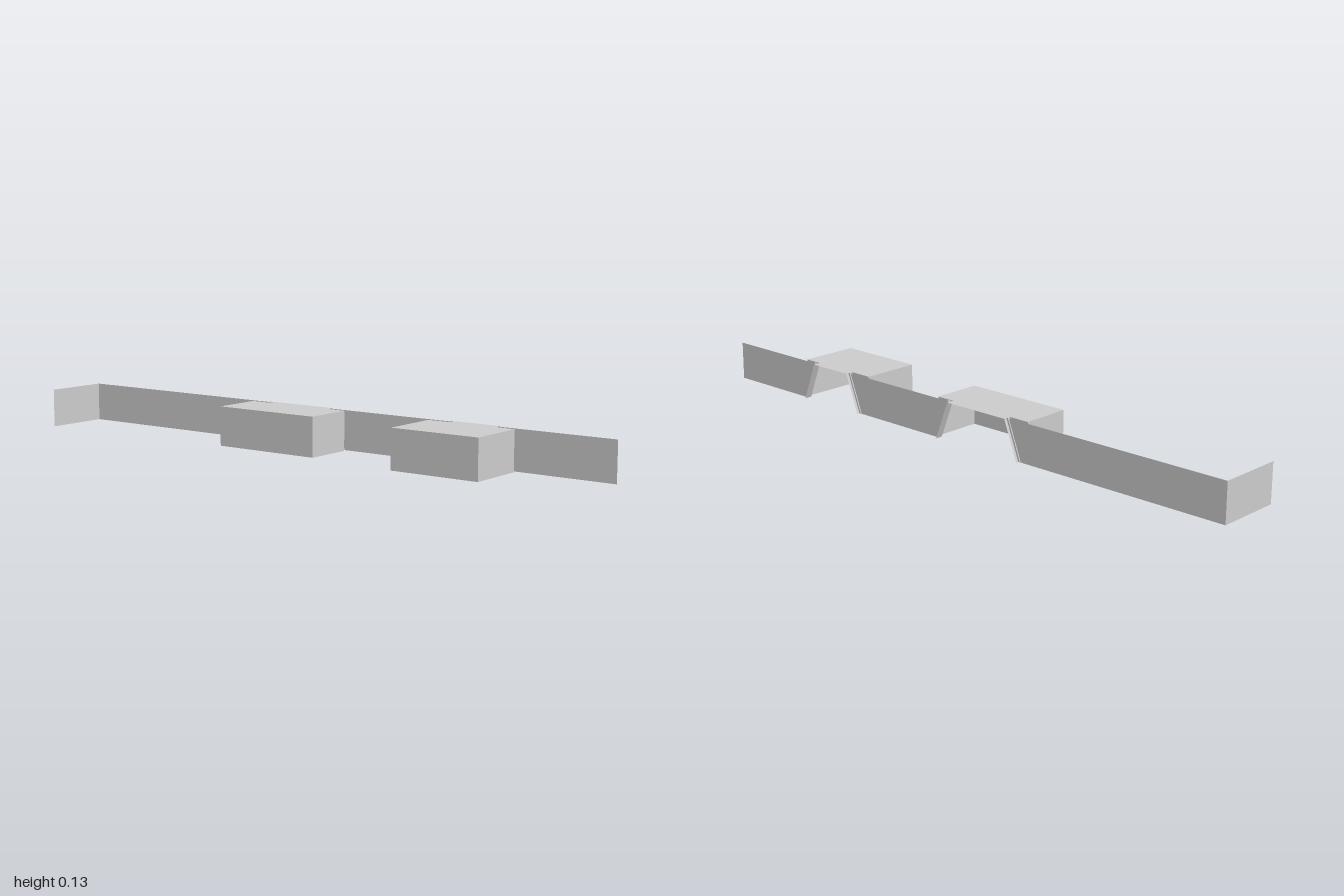
import * as THREE from 'three';

const H = 0.125;        // wall height
const WALL_Z = -0.1;    // plane of the long wall
const BACK_Z = -0.087;  // rear of the alcoves
const LIP_Z = -0.112;   // outer rim of the doorways

const material = new THREE.MeshStandardMaterial({ color: 0xcccccc, side: THREE.DoubleSide, flatShading: true });

// Thin four-cornered sheet
function sheet(name, a, b, c, d) {
  const geometry = new THREE.BufferGeometry();
  geometry.setAttribute('position', new THREE.Float32BufferAttribute([...a, ...b, ...c, ...d], 3));
  geometry.setIndex([0, 1, 2, 0, 2, 3]);
  geometry.computeVertexNormals();
  const mesh = new THREE.Mesh(geometry, material);
  mesh.name = name;
  return mesh;
}

// Upright sheet facing +z whose ends may slant
function panel(name, z, left, right) {
  return sheet(name, [left[0], 0, z], [right[0], 0, z], [right[1], H, z], [left[1], H, z]);
}

// Slanted doorway jamb with a slim slot strip on its outer side
function doorJamb([xb, xt], outward) {
  const group = new THREE.Group();
  group.name = 'doorJamb';
  group.add(sheet('jambPlate', [xb, 0, LIP_Z], [xb, 0, BACK_Z], [xt, H, BACK_Z], [xt, H, LIP_Z]));
  const run = xt - xb;
  const length = Math.hypot(run, H);
  const strip = new THREE.Mesh(new THREE.BoxGeometry(0.006, length, 0.007), material);
  strip.name = 'slotStrip';
  strip.rotation.z = -Math.atan2(run, H);
  strip.position.set((xb + xt) / 2 + outward * 0.004 * H / length, H / 2 + 0.0015, WALL_Z);
  group.add(strip);
  return group;
}

// Open-bottomed alcove projecting forward from a doorway
function alcove({ x0, x1, front, left, right }) {
  const group = new THREE.Group();
  group.name = 'alcove';
  group.add(
    sheet('roof', [x0, H, front], [x1, H, front], [x1, H, BACK_Z], [x0, H, BACK_Z]),
    sheet('doorwayRoof', [left[1], H, BACK_Z], [right[1], H, BACK_Z], [right[1], H, LIP_Z], [left[1], H, LIP_Z]),
    panel('frontWall', front, [x0, x0], [x1, x1]),
    panel('backWallRight', BACK_Z, [x0, x0], left),
    panel('backWallLeft', BACK_Z, right, [x1, x1]),
    doorJamb(left, -1),
    doorJamb(right, 1),
  );
  for (const x of [x0, x1]) {
    group.add(sheet('sideWall', [x, 0, front], [x, 0, BACK_Z], [x, H, BACK_Z], [x, H, front]));
  }
  return group;
}

export function createModel() {
  const model = new THREE.Group();
  model.name = 'wallWithAlcoves';

  // Doorway edges are given as [bottom x, top x]
  const alcoves = [
    { x0: -0.29, x1: 0.075, front: 0.073, left: [-0.268, -0.22], right: [0.061, 0.013] },
    { x0: 0.385, x1: 0.68, front: 0.106, left: [0.415, 0.463], right: [0.666, 0.618] },
  ];

  // Long wall broken by the doorways
  let start = [-1, -1];
  for (const a of alcoves) {
    model.add(panel('wallPanel', WALL_Z, start, a.left), alcove(a));
    start = a.right;
  }
  model.add(panel('wallPanel', WALL_Z, start, [1, 1]));

  // Return wall at the right end
  model.add(sheet('returnWall', [-1, 0, WALL_Z], [-1, 0, 0.113], [-1, H, 0.113], [-1, H, WALL_Z]));
  return model;
}
